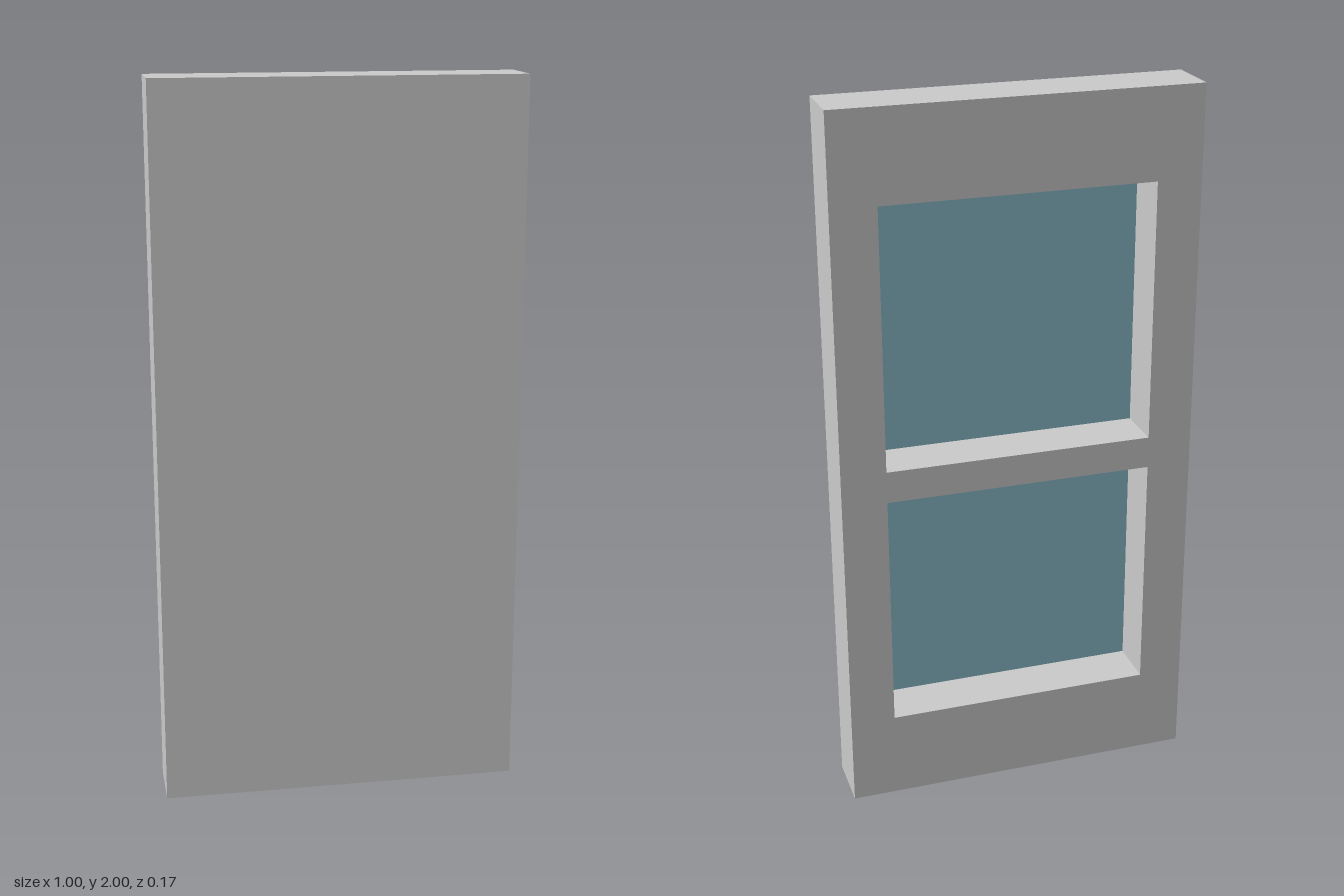
import * as THREE from 'three';

export function createModel() {
  const group = new THREE.Group();
  group.name = 'windowedPanel';

  const frameGrey = new THREE.MeshStandardMaterial({ color: 0xcccccc });
  frameGrey.name = 'frame grey';
  const glassBlue = new THREE.MeshStandardMaterial({ color: 0x8abccb });
  glassBlue.name = 'glass blue';

  const W = 1, H = 2, halfDepth = 0.083, floorZ = 0.064;
  const paneHalf = 0.375;
  const panes = [[0.25, 0.93], [1.02, 1.75]]; // bottom and top of each opening

  const rect = (Type, x, y0, y1) => new Type([
    new THREE.Vector2(-x, y0), new THREE.Vector2(x, y0),
    new THREE.Vector2(x, y1), new THREE.Vector2(-x, y1),
  ]);
  const add = (name, geometry, material) => {
    const mesh = new THREE.Mesh(geometry, material);
    mesh.name = name;
    group.add(mesh);
    return mesh;
  };

  // Frame with two openings, facing the back
  const outline = rect(THREE.Shape, W / 2, 0, H);
  panes.forEach(([y0, y1]) => outline.holes.push(rect(THREE.Path, paneHalf, y0, y1)));
  const depth = floorZ + halfDepth;
  add('frame', new THREE.ExtrudeGeometry(outline, { depth, bevelEnabled: false }), frameGrey)
    .position.z = -halfDepth;

  // Plain panel closing the front
  const panelDepth = halfDepth - floorZ;
  add('frontPanel', new THREE.BoxGeometry(W, H, panelDepth), frameGrey)
    .position.set(0, H / 2, floorZ + panelDepth / 2);

  // Glass plates at the bottom of each opening
  panes.forEach(([y0, y1], i) => {
    add(i ? 'upperGlass' : 'lowerGlass', new THREE.BoxGeometry(2 * paneHalf, y1 - y0, 0.004), glassBlue)
      .position.set(0, (y0 + y1) / 2, floorZ - 0.002);
  });

  // The whole slab is turned very slightly about its upright axis
  group.rotation.y = -0.008;
  return group;
}
